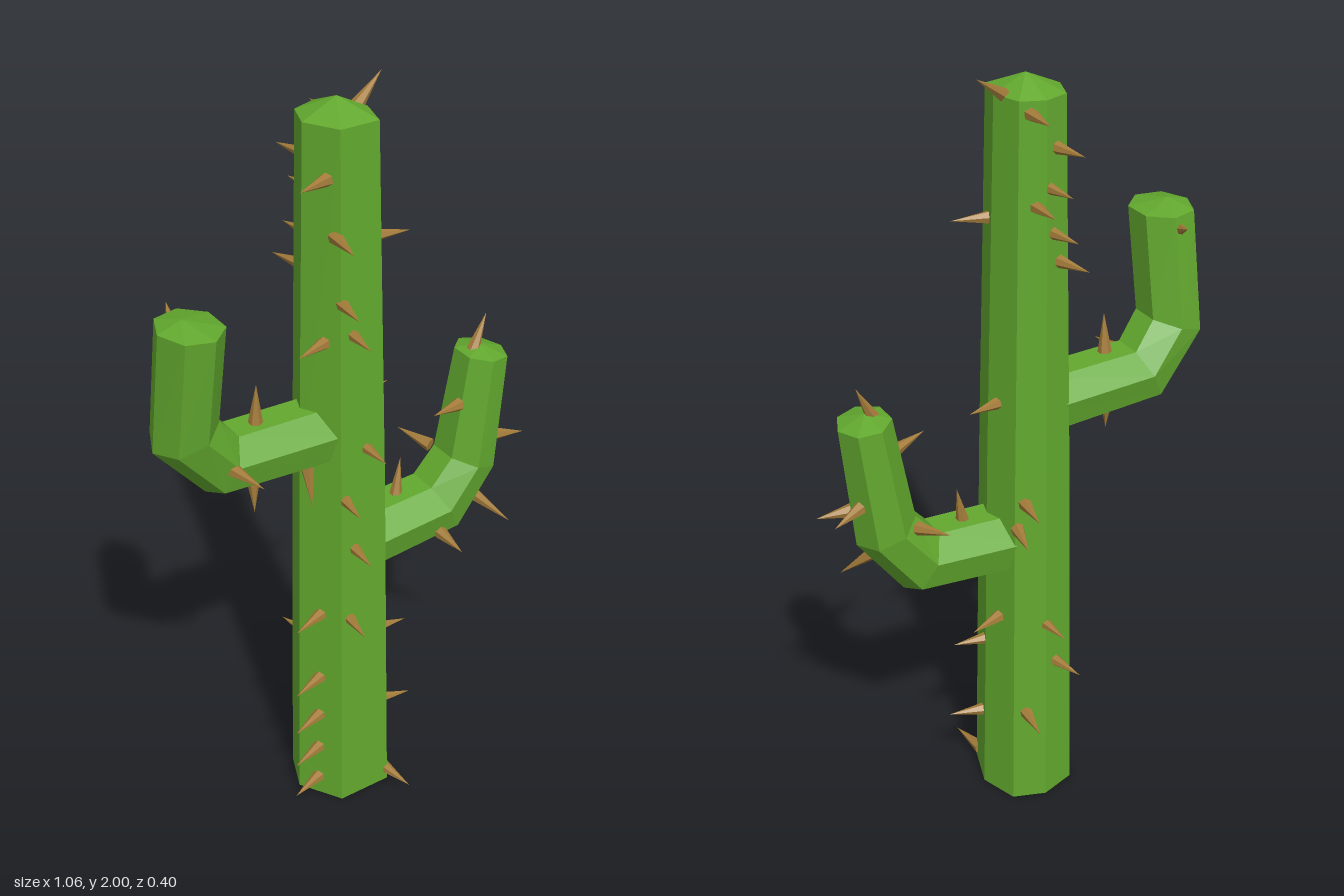
import * as THREE from 'three';

const V = (x, y, z) => new THREE.Vector3(x, y, z);

// Skin a list of equal rings, closing each end to a point
function loft(rings, startTip, endTip) {
  const pos = [], n = rings[0].length;
  const tri = (...pts) => pts.forEach(p => pos.push(p.x, p.y, p.z));
  for (let j = 0; j < n; j++) {
    const k = (j + 1) % n;
    for (let i = 0; i < rings.length - 1; i++) {
      const a = rings[i], b = rings[i + 1];
      tri(a[j], b[j], a[k]);
      tri(a[k], b[j], b[k]);
    }
    const first = rings[0], last = rings[rings.length - 1];
    tri(startTip, first[j], first[k]);
    tri(endTip, last[k], last[j]);
  }
  const g = new THREE.BufferGeometry();
  g.setAttribute('position', new THREE.Float32BufferAttribute(pos, 3));
  g.computeVertexNormals();
  return g;
}

// Seven-sided arm following a bent path, with mitred joints
function armGeometry(path, radii, turn, endTip) {
  const pts = path.map(p => V(...p));
  const flat = (a, b) => V(b.x - a.x, b.y - a.y, 0).normalize();
  const rings = pts.map((p, i) => {
    const before = flat(pts[Math.max(i - 1, 0)], pts[Math.max(i, 1)]);
    const last = pts.length - 1;
    const after = flat(pts[Math.min(i, last - 1)], pts[Math.min(i + 1, last)]);
    const t = before.clone().add(after).normalize();
    const mitre = 1 / t.dot(before);
    const [ru, rz] = radii[i];
    return Array.from({ length: 7 }, (_, j) => {
      const a = turn + j / 7 * Math.PI * 2;
      const u = Math.cos(a) * ru * mitre;
      return V(p.x + t.y * u, p.y - t.x * u, p.z + Math.sin(a) * rz);
    });
  });
  return loft(rings, pts[0], V(...endTip));
}

export function createModel() {
  const group = new THREE.Group();
  const green = new THREE.MeshStandardMaterial({ color: 0x62a82e, flatShading: true });
  green.name = 'cactusGreen';
  const brown = new THREE.MeshStandardMaterial({ color: 0xa47c3a, flatShading: true });
  brown.name = 'spineBrown';
  const add = (name, geo, mat, parent = group) => {
    const m = new THREE.Mesh(geo, mat);
    m.name = name;
    parent.add(m);
    return m;
  };

  // Trunk: uneven seven-sided column narrowing upward, with a low point on top
  const section = [[0.13, 0.01], [0.095, 0.12], [-0.055, 0.12], [-0.125, 0.01],
    [-0.085, -0.09], [0.01, -0.12], [0.095, -0.09]];
  const ring = (y, sx, sz) => section.map(([x, z]) => V(x * sx - 0.028, y, z * sz - 0.008));
  add('trunk', loft([ring(0, 1, 1), ring(1, 0.86, 0.88), ring(1.945, 0.67, 0.74)],
    V(-0.03, 0, -0.01), V(-0.02, 1.985, -0.005)), green);

  // Arms
  add('rightArm', armGeometry(
    [[-0.06, 1.15, 0], [-0.355, 1.165, 0], [-0.45, 1.28, 0.015], [-0.44, 1.57, 0.055]],
    [[0.085, 0.09], [0.08, 0.09], [0.08, 0.09], [0.078, 0.092]],
    Math.PI, [-0.455, 1.59, 0.05]), green);
  add('leftArm', armGeometry(
    [[0.0, 0.785, 0], [0.28, 0.805, 0], [0.37, 0.92, 0], [0.41, 1.22, 0]],
    [[0.09, 0.095], [0.085, 0.092], [0.078, 0.09], [0.066, 0.075]],
    0, [0.405, 1.24, 0]), green);

  // Spines: thin cones from a base point to a tip
  const cone = new THREE.ConeGeometry(0.018, 1, 6);
  const spines = new THREE.Group();
  spines.name = 'spines';
  group.add(spines);
  const spine = (base, tip) => {
    const a = V(...base), b = V(...tip), d = b.clone().sub(a);
    const m = add('spine', cone, brown, spines);
    m.scale.y = d.length();
    m.position.copy(a).add(b).multiplyScalar(0.5);
    m.quaternion.setFromUnitVectors(V(0, 1, 0), d.normalize());
  };

  // Trunk spines on the right side
  for (const y of [0.06, 0.17, 0.285, 0.415, 0.625, 1.42, 1.825]) {
    const x = -0.118 + 0.023 * y;
    spine([x, y, 0.05], [x - 0.1, y + 0.005, 0.09]);
  }
  // Trunk spines on the left side
  for (const [y, z] of [[0.225, 0.035], [0.47, 0.02], [0.575, -0.05], [1.19, -0.03], [1.645, 0.035]]) {
    const x = 0.095 - 0.025 * y;
    spine([x - 0.01, y, z * 0.8], [x + 0.09, y, z * 1.5]);
  }
  // Trunk spines on the front
  for (const [x, y] of [[0.065, 0.035], [-0.05, 0.62], [-0.035, 0.835], [-0.06, 0.99],
    [0, 1.12], [-0.035, 1.44], [-0.06, 1.525], [-0.07, 1.69]]) {
    const z = 0.105 - 0.018 * y;
    spine([x, y, z - 0.01], [x * 1.25, y, z + 0.095]);
  }
  // Trunk spines on the back
  for (const [x, y] of [[0.03, 0.285], [-0.05, 0.43], [-0.02, 0.56], [0.05, 0.86], [0.03, 0.93],
    [-0.06, 1.555], [-0.04, 1.63], [0, 1.7], [-0.03, 1.74], [-0.05, 1.83], [0.01, 1.915]]) {
    const z = -0.122 + 0.018 * y;
    spine([x, y, z + 0.015], [x * 1.5, y, z - 0.085]);
  }

  // Trunk top and arm spines
  const others = [
    [[0.035, 1.94, -0.015], [0.125, 2.0, -0.045]],
    [[-0.255, 1.235, 0.005], [-0.253, 1.34, 0.01]],
    [[-0.275, 1.095, 0.02], [-0.28, 1.0, 0.03]],
    [[-0.13, 1.08, 0.03], [-0.135, 0.98, 0.06]],
    [[-0.36, 1.18, 0.08], [-0.34, 1.18, 0.185]],
    [[-0.445, 1.53, -0.015], [-0.42, 1.56, -0.09]],
    [[0.385, 1.225, 0], [0.43, 1.315, -0.01]],
    [[0.325, 1.1, 0.03], [0.225, 1.115, 0.06]],
    [[0.44, 1.01, -0.03], [0.525, 0.995, -0.065]],
    [[0.44, 0.97, 0.03], [0.525, 0.96, 0.05]],
    [[0.37, 0.82, 0.05], [0.445, 0.74, 0.115]],
    [[0.155, 0.865, 0], [0.175, 0.97, -0.01]],
    [[0.245, 0.76, 0.08], [0.245, 0.755, 0.175]],
    [[0.31, 0.93, -0.065], [0.27, 0.95, -0.16]],
  ];
  others.forEach(([base, tip]) => spine(base, tip));
  return group;
}
